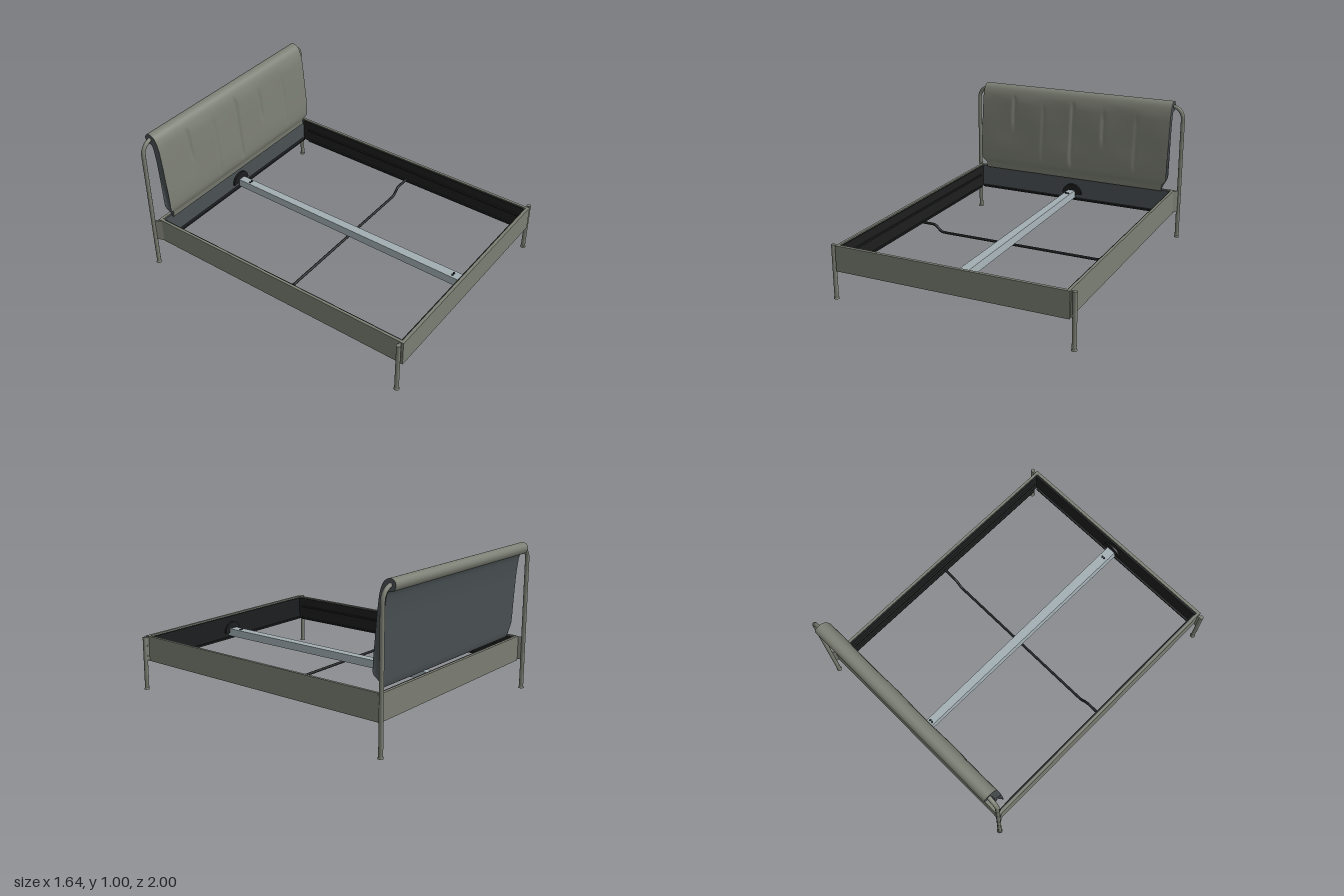
import * as THREE from 'three';

const mat = (name, color, side = THREE.FrontSide) => {
  const m = new THREE.MeshStandardMaterial({ color, side });
  m.name = name;
  return m;
};

export function createModel() {
  const bed = new THREE.Group();
  bed.name = 'bedFrame';
  const olive = mat('oliveGrey', 0x7c7f74);
  const slate = mat('slateLining', 0x4b5255, THREE.DoubleSide);
  const black = mat('blackSteel', 0x1d1e1f);
  const steel = mat('paleSteel', 0xa2aeb3);

  const add = (name, geo, material, x = 0, y = 0, z = 0) => {
    const mesh = new THREE.Mesh(geo, material);
    mesh.name = name;
    mesh.position.set(x, y, z);
    bed.add(mesh);
    return mesh;
  };
  // Box given by its minimum and maximum on each axis
  const box = (name, material, [x0, x1], [y0, y1], [z0, z1]) =>
    add(name, new THREE.BoxGeometry(x1 - x0, y1 - y0, z1 - z0), material,
      (x0 + x1) / 2, (y0 + y1) / 2, (z0 + z1) / 2);
  const span = (s, a, b) => (s > 0 ? [a, b] : [-b, -a]);
  const v = (x, y, z) => new THREE.Vector3(x, y, z);

  // Tube through corner points with rounded bends
  const bentTube = (name, pts, bend, radius, material) => {
    const path = new THREE.CurvePath();
    let from = pts[0];
    for (let i = 1; i < pts.length - 1; i++) {
      const a = pts[i].clone().add(pts[i - 1].clone().sub(pts[i]).setLength(bend));
      const b = pts[i].clone().add(pts[i + 1].clone().sub(pts[i]).setLength(bend));
      const k = 0.55;
      path.add(new THREE.LineCurve3(from, a));
      path.add(new THREE.CubicBezierCurve3(a, a.clone().lerp(pts[i], k), b.clone().lerp(pts[i], k), b));
      from = b;
    }
    path.add(new THREE.LineCurve3(from, pts[pts.length - 1]));
    return add(name, new THREE.TubeGeometry(path, 160, radius, 14), material);
  };

  // Headboard hoop, which also forms the rear legs
  const legX = 0.8, backZ = -0.962, frontZ = 0.978;
  bentTube('headboardHoop', [v(-legX, 0, backZ), v(-legX, 0.965, backZ), v(legX, 0.965, backZ), v(legX, 0, backZ)],
    0.085, 0.014, olive);

  for (const s of [-1, 1]) {
    // Front legs, feet and corner brackets
    add('frontLeg', new THREE.CylinderGeometry(0.014, 0.014, 0.36, 16), olive, s * legX, 0.18, frontZ);
    for (const z of [frontZ, backZ])
      add('foot', new THREE.CylinderGeometry(0.015, 0.019, 0.012, 16), olive, s * legX, 0.006, z);
    box('frontBracket', olive, span(s, 0.765, 0.795), [0.2, 0.355], [0.968, 0.982]);
    const bracket = box('rearBracket', olive, [-0.005, 0.005], [0.2, 0.355], [-0.035, 0.035]);
    bracket.position.set(s * 0.783, 0.278, -0.935);
    bracket.rotation.y = s * -0.55;

    // Side rail: outer panel, inner lining and bottom flange
    box('sideRail', olive, span(s, 0.756, 0.774), [0.193, 0.363], [-0.92, 0.975]);
    box('sideRailLining', black, span(s, 0.746, 0.757), [0.192, 0.355], [-0.9, 0.96]);
    box('sideRailFlange', black, span(s, 0.735, 0.757), [0.192, 0.204], [-0.85, 0.93]);
    box('slatLedge', black, span(s, 0.735, 0.75), [0.285, 0.297], [-0.85, 0.93]);
  }

  // Front and rear rails
  box('frontRail', olive, [-0.776, 0.776], [0.193, 0.363], [0.975, 0.996]);
  box('frontRailLining', black, [-0.757, 0.757], [0.192, 0.353], [0.964, 0.976]);
  box('frontRailFlange', black, [-0.735, 0.735], [0.192, 0.204], [0.95, 0.97]);
  box('rearRail', olive, [-0.776, 0.776], [0.193, 0.36], [-0.936, -0.916]);
  box('rearRailLining', slate, [-0.757, 0.757], [0.195, 0.357], [-0.917, -0.905]);
  box('rearRailFlange', black, [-0.735, 0.735], [0.192, 0.204], [-0.916, -0.885]);

  // Centre beam: inverted channel, slightly wider at the front
  const channel = new THREE.Shape([[-1, 0], [-0.8, 0], [-0.6, 0.85], [0.6, 0.85], [0.8, 0], [1, 0], [0.8, 1], [-0.8, 1]]
    .map(([x, y]) => new THREE.Vector2(x * 0.036, y * 0.05)));
  const beamGeo = new THREE.ExtrudeGeometry(channel, { depth: 1.85, bevelEnabled: false });
  const bp = beamGeo.attributes.position;
  for (let i = 0; i < bp.count; i++) bp.setX(i, bp.getX(i) * (0.9 + 0.12 * bp.getZ(i)));
  beamGeo.computeVertexNormals();
  add('centreBeam', beamGeo, steel, 0, 0.215, -0.885);
  for (const z of [-0.8, 0.87])
    for (const dx of [-0.009, 0.009])
      add('beamBolt', new THREE.CylinderGeometry(0.007, 0.007, 0.006, 10), black, dx, 0.268, z);

  // Round mounts holding the beam ends
  for (const z of [-0.897, 0.958]) {
    const mount = add('beamMount', new THREE.CylinderGeometry(0.075, 0.075, 0.014, 24, 1, false, Math.PI / 2, Math.PI),
      black, 0, 0.235, z);
    mount.rotation.x = Math.PI / 2;
  }

  // Cranked cross bar under the beam
  bentTube('crossBar', [v(-0.745, 0.2, 0.035), v(-0.635, 0.2, 0.035), v(-0.585, 0.152, 0.035),
    v(0.585, 0.152, 0.035), v(0.635, 0.2, 0.035), v(0.745, 0.2, 0.035)], 0.018, 0.009, black);

  // Draped headboard cushion: a closed (z, y) section swept across x; the first four spans are the lining
  const section = [[-0.893, 0.37], [-0.904, 0.46], [-0.915, 0.65], [-0.93, 0.84], [-0.95, 0.925],
    [-0.985, 0.932], [-1.0, 0.965], [-0.988, 0.992], [-0.96, 1.001], [-0.925, 0.985], [-0.897, 0.93],
    [-0.88, 0.82], [-0.865, 0.66], [-0.853, 0.52], [-0.854, 0.44], [-0.868, 0.4], [-0.876, 0.36]];
  const per = 4, rows = section.length * per, cols = 144;
  const curve = new THREE.CatmullRomCurve3(section.map(([z, y]) => v(0, y, z)), true);
  const loop = Array.from({ length: rows }, (_, j) => curve.getPoint(j / rows));
  const halfWidth = y => THREE.MathUtils.lerp(0.695, 0.732, THREE.MathUtils.smoothstep(y, 0.395, 0.455));
  const creases = [[-0.47, 0.68, 0.97, 1], [-0.23, 0.42, 0.9, 0.4], [0, 0.43, 0.96, 1],
    [0.24, 0.63, 0.9, 0.9], [0.49, 0.45, 0.9, 0.4]];
  const positions = [];
  for (let i = 0; i <= cols; i++) {
    for (let j = 0; j < rows; j++) {
      const p = loop[j], x = (2 * i / cols - 1) * halfWidth(p.y);
      let z = p.z;
      if (j > 10 * per && p.y > 0.42) {
        for (const [cx, lo, hi, depth] of creases) {
          const fade = THREE.MathUtils.smoothstep(p.y, lo, lo + 0.08) * (1 - THREE.MathUtils.smoothstep(p.y, hi - 0.08, hi));
          z -= 0.011 * depth * fade * Math.exp(-(((x - cx) / 0.011) ** 2));
        }
        z += 0.002 * Math.sin(x * 13) * Math.sin(p.y * 9);
      }
      positions.push(x, p.y, z);
    }
  }
  const strip = (name, j0, j1, material) => {
    const index = [];
    for (let i = 0; i < cols; i++)
      for (let j = j0; j < j1; j++) {
        const k = (j + 1) % rows, a = i * rows + j, b = i * rows + k;
        index.push(a, b, b + rows, a, b + rows, a + rows);
      }
    const geo = new THREE.BufferGeometry();
    geo.setAttribute('position', new THREE.Float32BufferAttribute(positions, 3));
    geo.setIndex(index);
    geo.computeVertexNormals();
    add(name, geo, material);
  };
  strip('cushionLining', 0, 4 * per, slate);
  strip('cushionCover', 4 * per, rows, olive);

  // Cushion ends
  const faces = THREE.ShapeUtils.triangulateShape(loop.map(p => new THREE.Vector2(p.z, p.y)), []);
  for (const s of [-1, 1]) {
    const geo = new THREE.BufferGeometry().setFromPoints(loop.map(p => v(s * halfWidth(p.y), p.y, p.z)));
    geo.setIndex(faces.flat());
    geo.computeVertexNormals();
    add('cushionEnd', geo, slate);
  }
  return bed;
}
